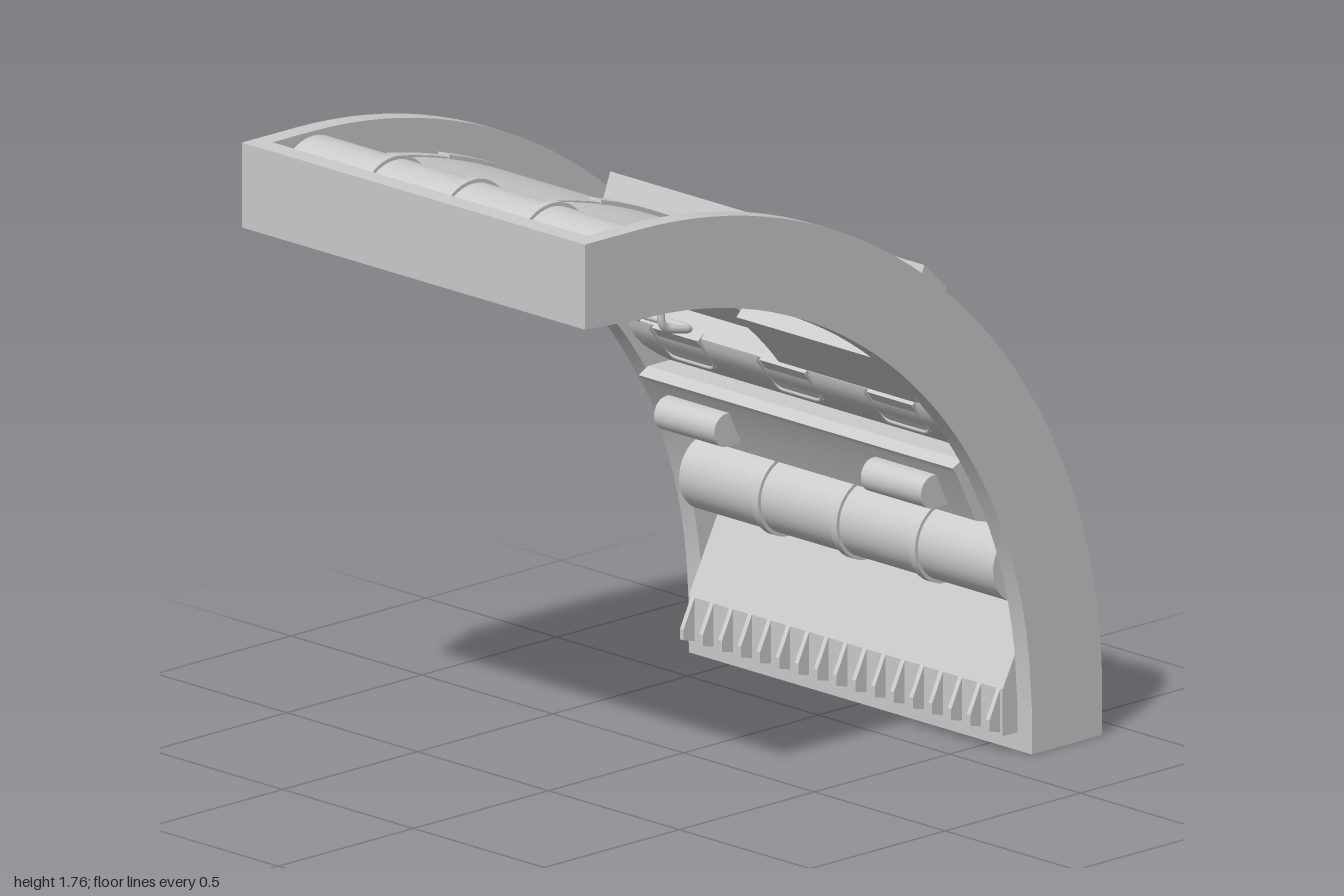
import * as THREE from 'three';
import { toCreasedNormals } from 'three/addons/utils/BufferGeometryUtils.js';

const material = new THREE.MeshStandardMaterial({ color: 0xcccccc, side: THREE.DoubleSide });
const rad = THREE.MathUtils.degToRad;

// Point [z, y] on the arch at angle a (degrees, 0 = foot, 90 = crown) and radius r
const pt = (a, r) => [0.8 - r * Math.cos(rad(a)), 0.13 + 0.952 * r * Math.sin(rad(a))];

function arc(r, a0, a1, n = 24) {
  return Array.from({ length: n + 1 }, (_, i) => pt(a0 + (a1 - a0) * i / n, r));
}

const band = (r0, r1, a0, a1, n = 14) => [...arc(r0, a0, a1, n), ...arc(r1, a1, a0, n)];

export function createModel() {
  const model = new THREE.Group();

  function add(name, geometry, x = 0, y = 0, z = 0) {
    const mesh = new THREE.Mesh(geometry, material);
    mesh.name = name;
    mesh.position.set(x, y, z);
    model.add(mesh);
    return mesh;
  }

  // Extrudes a [z, y] cross-section along x, centred on x
  function section(name, points, width, x = 0) {
    const shape = new THREE.Shape(points.map(p => new THREE.Vector2(...p)));
    const geo = new THREE.ExtrudeGeometry(shape, { depth: width, bevelEnabled: false });
    geo.translate(0, 0, -width / 2).rotateY(-Math.PI / 2);
    return add(name, toCreasedNormals(geo, rad(25)), x);
  }

  function box(name, w, h, d, x, y, z) {
    return add(name, new THREE.BoxGeometry(w, h, d), x, y, z);
  }

  // Pipe along x with three clamp rings
  function pipe(name, r, y, z) {
    const cyl = (n, radius, len, x) =>
      add(n, new THREE.CylinderGeometry(radius, radius, len, 40).rotateZ(Math.PI / 2), x, y, z);
    cyl(name, r, 1.2, 0);
    for (const x of [-0.3, 0, 0.3]) cyl(name + 'Ring', r + 0.01, 0.024, x);
  }

  // Frame: curved side walls and the two end plates
  const wall = [[-0.655, 0], [-0.655, 0.13], ...arc(1.452, 2, 90, 40), [1, 1.527], [1, 1.763],
    ...arc(1.715, 90, 0, 40), [-0.915, 0]];
  for (const s of [-1, 1]) section('sideWall', wall, 0.055, s * 0.6275);
  box('footPlate', 1.2, 0.055, 0.26, 0, 0.0275, -0.785);
  box('crownPlate', 1.2, 0.236, 0.06, 0, 1.645, 0.97);

  // Thin upper skin
  section('upperSkin', [...arc(1.55, 39, 90), [0.95, 1.606], [0.95, 1.665], ...arc(1.612, 90, 39)], 1.2);

  // Lower wall: rounded inner ledge, kick panel, rear apron and outer skin
  section('lowerWall', [
    ...arc(1.56, 47, 39, 4), [-0.425, 1.06], [-0.378, 1.0], [-0.383, 0.975], [-0.4, 0.945],
    [-0.43, 0.915], [-0.48, 0.88], [-0.55, 0.84],
    [-0.68, 0.66], [-0.72, 0.6], [-0.72, 0.41], [-0.6, 0.18], [-0.6, 0.05],
    [-0.945, 0.05], [-0.945, 0.17], [-0.9, 0.22], [-0.77, 0.4], [-0.77, 0.54],
    [-0.855, 0.6], [-0.848, 0.635], ...arc(1.66, 21.8, 47, 16)], 1.2);

  // Outer cross beam
  section('crossBeam', [[-0.25, 1.26], [-0.31, 1.42], [-0.39, 1.345], [-0.392, 1.31], [-0.4, 1.13]], 1.2);

  // Lengthwise ribs showing on both faces of the skin
  for (const x of [-0.58, 0, 0.58]) {
    section('rib', band(1.525, 1.617, 50, 85), 0.036, x);
    section('ribFoot', band(1.49, 1.632, 37, 51, 6), 0.046, x);
    section('ribJoint', band(1.52, 1.624, 58.8, 73, 6), 0.044, x);
  }

  // Hatch between two ribs: outer cover and inner block
  section('hatchCover', band(1.57, 1.63, 44, 58.5, 8), 0.535, 0.29);
  section('hatchBlock', band(1.47, 1.57, 39.5, 48.5, 4), 0.535, 0.29);

  // Pipes
  pipe('crownPipe', 0.13, 1.62, 0.79);
  pipe('wallPipe', 0.105, 0.515, -0.67);

  // Instrument panel with rounded grips
  section('slantedPanel', [[-0.45, 0.85], [-0.415, 0.832], [-0.428, 0.815], [-0.5, 0.67],
    [-0.57, 0.65], [-0.68, 0.62], [-0.73, 0.62], [-0.6, 0.85]], 1.2);
  for (const x of [-0.395, 0.395]) {
    const nose = Array.from({ length: 13 }, (_, i) => {
      const a = Math.PI * (i / 12 - 0.5);
      return [-0.43 + 0.045 * Math.cos(a), 0.745 + 0.046 * Math.sin(a)];
    });
    section('grip', [...nose, [-0.52, 0.791], [-0.52, 0.699]], 0.23, x);
  }

  // Small trays under the ledge, each with a rounded lip
  for (const x of [-0.41, 0, 0.41]) {
    section('tray', band(1.478, 1.56, 33.5, 38, 3), 0.175, x);
    const [zTop, yTop] = pt(38, 1.478), [zLow, yLow] = pt(33.4, 1.478);
    const lip = new THREE.CatmullRomCurve3([
      new THREE.Vector3(-0.092, yTop, zTop), new THREE.Vector3(-0.09, yLow + 0.02, zLow + 0.01),
      new THREE.Vector3(-0.07, yLow, zLow), new THREE.Vector3(0.07, yLow, zLow),
      new THREE.Vector3(0.09, yLow + 0.02, zLow + 0.01), new THREE.Vector3(0.092, yTop, zTop)],
    false, 'catmullrom', 0.2);
    add('trayLip', new THREE.TubeGeometry(lip, 30, 0.006, 6), x);
  }

  // Kick panel teeth
  for (let i = 0; i < 17; i++) {
    section('tooth', [[-0.62, 0.2], [-0.6, 0.18], [-0.56, 0.1], [-0.56, 0.07], [-0.6, 0.06], [-0.62, 0.06]],
      0.014, -0.584 + i * 0.073);
  }

  // Overhead handrail
  const rail = new THREE.CurvePath();
  const v = (x, y, z) => new THREE.Vector3(x, y, z);
  const corners = [v(-0.55, 1.6, 0.62), v(-0.55, 1.425, 0.615), v(-0.55, 1.4, 0.5),
    v(0.55, 1.4, 0.5), v(0.55, 1.425, 0.615), v(0.55, 1.6, 0.62)];
  let last = corners[0];
  for (let i = 1; i < 5; i++) {
    const toward = q => corners[i].clone().add(q.clone().sub(corners[i]).setLength(0.03));
    const start = toward(corners[i - 1]), end = toward(corners[i + 1]);
    rail.add(new THREE.LineCurve3(last, start));
    rail.add(new THREE.QuadraticBezierCurve3(start, corners[i], end));
    last = end;
  }
  rail.add(new THREE.LineCurve3(last, corners[5]));
  add('handrail', new THREE.TubeGeometry(rail, 160, 0.011, 10));
  for (const x of [-0.55, 0.55]) {
    add('railCollar', new THREE.CylinderGeometry(0.024, 0.024, 0.02, 16), x, 1.5, 0.62);
  }
  box('ceilingBox', 0.115, 0.13, 0.13, -0.453, 1.535, 0.64).rotation.x = 0.1;

  // Stepped outer bands that dip in the middle
  function dippedBand(a0, a1, r) {
    const xs = [-0.6, -0.34, -0.25, 0.25, 0.34, 0.6], dips = [0, 0, 3.2, 3.2, 0, 0];
    const pos = [], index = [];
    xs.forEach((x, i) => {
      for (const [a, radius] of [[a0, 1.63], [a0, r], [a1, r], [a1, 1.63]]) {
        const [z, y] = pt(a - dips[i], radius);
        pos.push(x, y, z);
      }
      if (i) for (let k = 0; k < 3; k++) {
        const p = (i - 1) * 4 + k;
        index.push(p, p + 4, p + 1, p + 1, p + 4, p + 5);
      }
    });
    const geo = new THREE.BufferGeometry();
    geo.setAttribute('position', new THREE.Float32BufferAttribute(pos, 3));
    geo.setIndex(index);
    add('dippedBand', toCreasedNormals(geo, rad(15)));
  }
  dippedBand(30.8, 35.3, 1.668);
  dippedBand(28.6, 30.8, 1.685);
  dippedBand(27.4, 29.6, 1.7);

  // Rear buttresses
  for (const [x, z] of [[-0.295, -1], [0.29, -0.985]]) {
    section('buttress', [[-0.75, 0.62], [-0.846, 0.635], [z + 0.06, 0.41], [z, 0.19], [z, 0.06],
      [-0.9, 0.06], [-0.75, 0.4]], 0.09, x);
  }
  return model;
}
